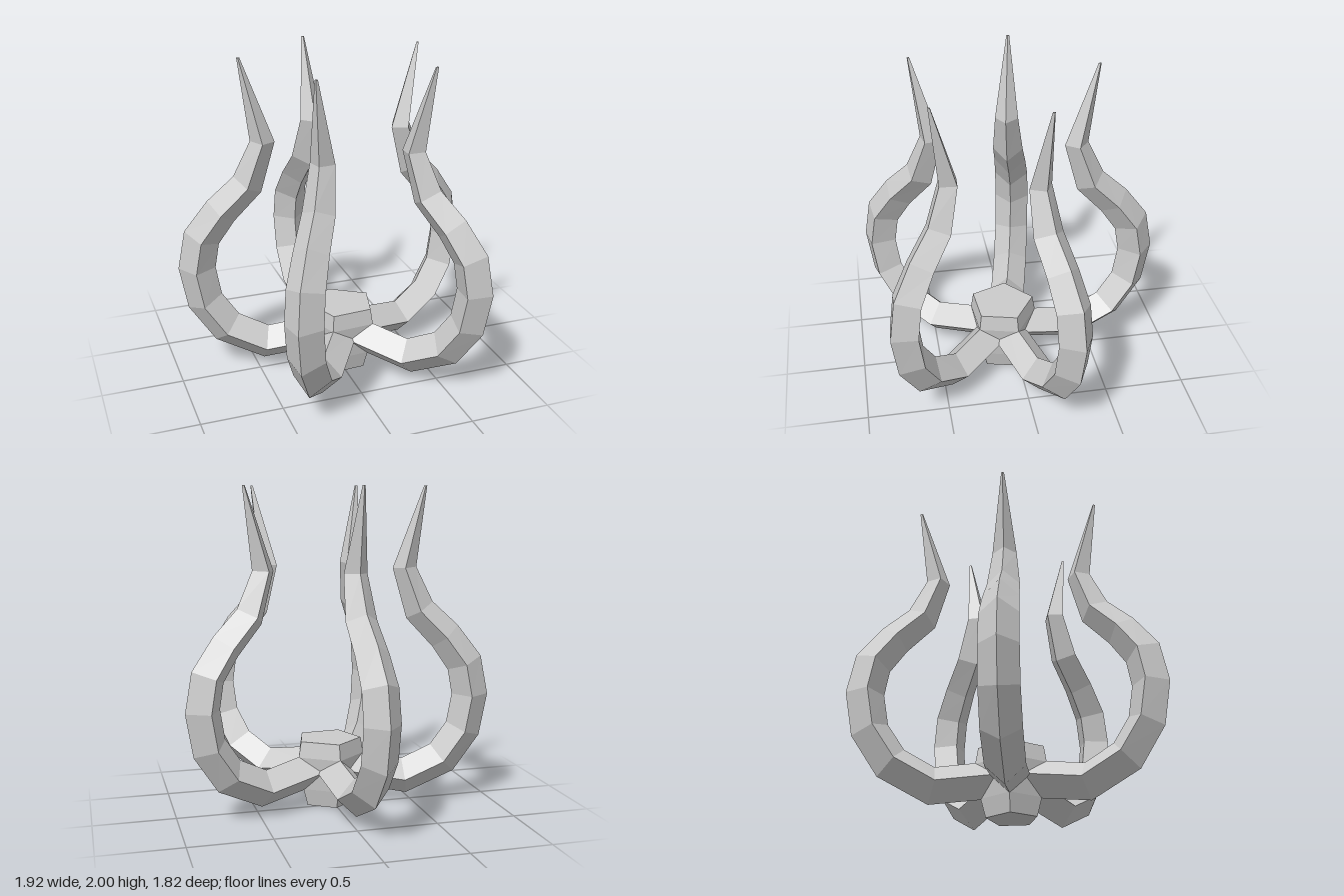
import * as THREE from 'three';

const rad = THREE.MathUtils.degToRad;

// directions of the five arms around the hub, in degrees from +x towards +z
const ARM_ANGLES = [-94.7, -19.2, 48.4, 123.5, 194].map(rad);
const ARM_REACH = [1, 0.99, 0.99, 0.985, 1.005];

// arm spine: distance from the hub axis, height, half thickness
const SPINE = [
  [0, 0.25, 0.115], [0.48, 0.167, 0.115], [0.72, 0.285, 0.115],
  [0.85, 0.475, 0.113], [0.89, 0.7, 0.113], [0.853, 0.9, 0.112],
  [0.73, 1.07, 0.104], [0.567, 1.235, 0.097], [0.471, 1.5, 0.073],
  [0.595, 2, 0.009],
];

// hub profile: radius, height
const HUB = [[0.158, 0], [0.188, 0.11], [0.222, 0.32], [0.205, 0.42]];

// closed solid through a list of rings with equal numbers of points
function loft(rings) {
  const n = rings[0].length;
  const pos = [];
  const tri = (...pts) => pts.forEach((p) => pos.push(p.x, p.y, p.z));
  for (let i = 0; i < rings.length - 1; i++) {
    for (let j = 0; j < n; j++) {
      const k = (j + 1) % n;
      const [a, b, c, d] = [rings[i][j], rings[i][k], rings[i + 1][k], rings[i + 1][j]];
      tri(a, d, b);
      tri(b, d, c);
    }
  }
  const first = rings[0], last = rings[rings.length - 1];
  for (let j = 1; j < n - 1; j++) {
    tri(first[0], first[j], first[j + 1]);
    tri(last[0], last[j + 1], last[j]);
  }
  const geo = new THREE.BufferGeometry();
  geo.setAttribute('position', new THREE.Float32BufferAttribute(pos, 3));
  geo.computeVertexNormals();
  return geo;
}

// diamond sections set square to the spine
function armGeometry(reach) {
  const pts = SPINE.map(([r, y]) => new THREE.Vector3(r * reach, y, 0));
  const rings = pts.map((p, i) => {
    const t = new THREE.Vector3();
    if (i > 0) t.add(p.clone().sub(pts[i - 1]).normalize());
    if (i < pts.length - 1) t.add(pts[i + 1].clone().sub(p).normalize());
    if (i === 0) t.set(1, 0, 0);
    if (i === pts.length - 1) t.set(0, 1, 0);
    t.normalize();
    const h = SPINE[i][2];
    return [0, 1, 2, 3].map((k) => {
      const c = Math.cos(k * Math.PI / 2) * h, s = Math.sin(k * Math.PI / 2) * h;
      return new THREE.Vector3(p.x + t.y * c, p.y - t.x * c, s);
    });
  });
  return loft(rings);
}

export function createModel() {
  const model = new THREE.Group();
  model.name = 'clawCrown';
  const body = new THREE.Group();
  body.name = 'body';
  body.position.set(0.02, 0, 0.088);
  model.add(body);
  const material = new THREE.MeshStandardMaterial({ color: 0xcccccc, flatShading: true });

  // five-sided hub with a corner over each arm
  const hub = new THREE.Mesh(loft(HUB.map(([r, y]) => ARM_ANGLES.map(
    (a) => new THREE.Vector3(r * Math.cos(a), y, r * Math.sin(a))))), material);
  hub.name = 'hub';
  body.add(hub);

  // curved arms ending in spikes
  ARM_ANGLES.forEach((angle, i) => {
    const arm = new THREE.Mesh(armGeometry(ARM_REACH[i]), material);
    arm.name = `arm${i + 1}`;
    arm.rotation.y = -angle;
    body.add(arm);
  });
  return model;
}
